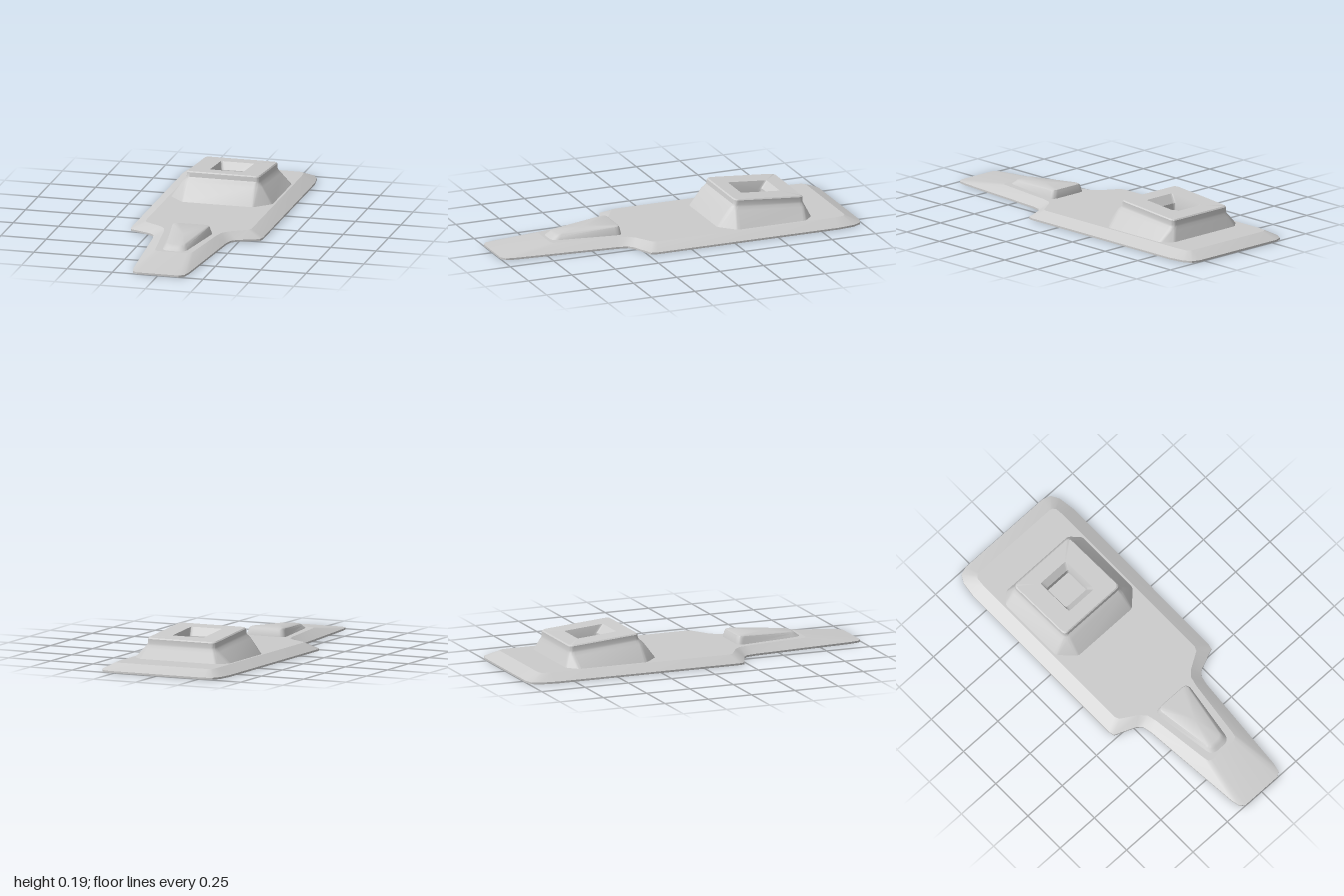
import * as THREE from 'three';
import { toCreasedNormals } from 'three/addons/utils/BufferGeometryUtils.js';

const material = new THREE.MeshStandardMaterial({ color: 0xcccccc, side: THREE.DoubleSide });
const DECK = 0.045;

// Mirrors a right-hand run of [x, z] points (back to front) into a closed outline.
const mirrored = (half) => [...half, ...half.map(([x, z]) => [-x, z]).reverse()];

// Rounds every corner of an outline with a short quadratic arc.
function rounded(points, r, steps = 4) {
  const out = [], n = points.length;
  for (let i = 0; i < n; i++) {
    const p = new THREE.Vector2(...points[i]);
    const toward = (q) => {
      const d = new THREE.Vector2(...q).sub(p);
      return p.clone().add(d.setLength(Math.min(r, d.length() * 0.45)));
    };
    const a = toward(points[(i + n - 1) % n]), b = toward(points[(i + 1) % n]);
    const arc = new THREE.QuadraticBezierCurve(a, p, b);
    for (const q of arc.getPoints(steps)) out.push([q.x, q.y]);
  }
  return out;
}

// Skins a stack of outlines; each has a height number or a height rule y(z).
function loft(name, loops, cap) {
  const pos = [], idx = [], n = loops[0].outline.length;
  for (const { outline, y } of loops)
    for (const [x, z] of outline) pos.push(x, typeof y === 'function' ? y(z) : y, z);
  for (let k = 0; k < loops.length - 1; k++)
    for (let i = 0; i < n; i++) {
      const a = k * n + i, b = k * n + (i + 1) % n;
      idx.push(a, a + n, b, b, a + n, b + n);
    }
  if (cap) {
    const base = (loops.length - 1) * n, c = new THREE.Vector3();
    for (let i = 0; i < n; i++) c.add(new THREE.Vector3().fromArray(pos, (base + i) * 3));
    c.divideScalar(n);
    pos.push(c.x, c.y, c.z);
    for (let i = 0; i < n; i++) idx.push(base + n, base + (i + 1) % n, base + i);
  }
  const g = new THREE.BufferGeometry();
  g.setAttribute('position', new THREE.Float32BufferAttribute(pos, 3));
  g.setIndex(idx);
  const mesh = new THREE.Mesh(toCreasedNormals(g, 0.6), material);
  mesh.name = name;
  return mesh;
}

// Rectangle with cut corners: cb at the back, cf at the front.
const block = (w, z0, z1, cb, cf, r = 0.015) => rounded(mirrored([
  [w - cb, z0], [w, z0 + cb], [w, z1 - cf], [w - cf, z1],
]), r);

// Tapered outline, wide at the back and narrow at the front.
const wedge = (wb, wf, z0, z1, r) => rounded(mirrored([[wb, z0], [wf, z1]]), r, 6);

export function createModel() {
  const group = new THREE.Group();

  // Bevelled base skirt, open underneath
  const outer = mirrored([
    [0.28, -1], [0.325, -0.985], [0.35, -0.94], [0.363, -0.85], [0.363, 0.2], [0.355, 0.232],
    [0.24, 0.28], [0.212, 0.305], [0.2, 0.36], [0.153, 0.93], [0.142, 0.98], [0.115, 1],
  ]);
  const inner = mirrored([
    [0.26, -0.92], [0.275, -0.915], [0.287, -0.9], [0.292, -0.85], [0.292, 0.17], [0.28, 0.195],
    [0.19, 0.25], [0.158, 0.285], [0.145, 0.34], [0.105, 0.66], [0.098, 0.69], [0.08, 0.7],
  ]);
  group.add(loft('baseSkirt', [
    { outline: outer, y: 0 }, { outline: outer, y: 0.01 }, { outline: inner, y: DECK },
  ]));

  // Pedestal with a sloping top and a square socket
  const top = (drop) => (z) => 0.187 - drop + (z + 0.32) * 0.08;
  const foot = block(0.28, -0.745, -0.215, 0.055, 0.085);
  group.add(loft('pedestal', [
    { outline: foot, y: DECK },
    { outline: block(0.222, -0.722, -0.283, 0.022, 0.03), y: top(0.056) },
    { outline: block(0.206, -0.715, -0.3, 0.016, 0.02), y: top(0.04) },
    { outline: block(0.202, -0.712, -0.31, 0.014, 0.014), y: top(0.03) },
    { outline: block(0.202, -0.712, -0.314, 0.014, 0.014), y: top(0.006) },
    { outline: block(0.196, -0.706, -0.32, 0.014, 0.014), y: top(0) },
    { outline: block(0.092, -0.62, -0.397, 0.004, 0.004), y: top(0) },
    { outline: block(0.08, -0.587, -0.434, 0.006, 0.006), y: top(0.04) },
    { outline: block(0.077, -0.584, -0.437, 0.006, 0.006), y: top(0.075) },
  ], true));

  // Tapered hump on the tongue
  const slope = (drop) => (z) => 0.092 - drop - (z - 0.31) * 0.062;
  const humpFoot = wedge(0.12, 0.062, 0.295, 0.682, 0.04);
  group.add(loft('tongueHump', [
    { outline: humpFoot, y: DECK },
    { outline: wedge(0.109, 0.053, 0.302, 0.664, 0.036), y: slope(0.012) },
    { outline: wedge(0.104, 0.048, 0.306, 0.655, 0.034), y: slope(0.004) },
    { outline: wedge(0.094, 0.041, 0.316, 0.642, 0.03), y: slope(0) },
  ], true));

  // Flat deck, open below the pedestal and the hump
  const flat = (outline) => outline.map(([x, z]) => new THREE.Vector2(x, -z));
  const shape = new THREE.Shape(flat(inner));
  shape.holes.push(new THREE.Path(flat(foot)), new THREE.Path(flat(humpFoot)));
  const deck = new THREE.Mesh(new THREE.ShapeGeometry(shape).rotateX(-Math.PI / 2), material);
  deck.position.y = DECK;
  deck.name = 'deck';
  group.add(deck);

  return group;
}
